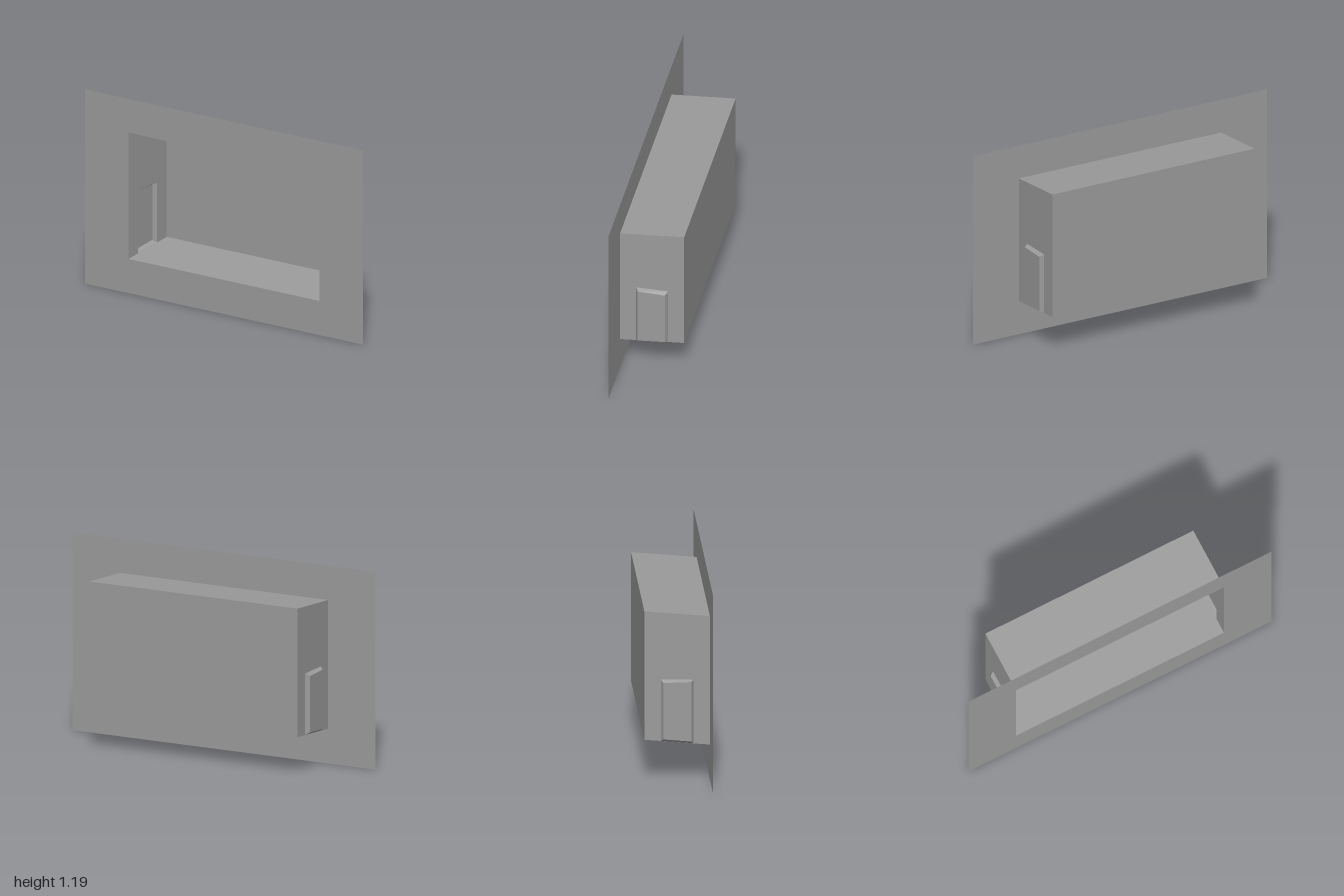
import * as THREE from 'three';

const material = new THREE.MeshStandardMaterial({ color: 0x9b9b9b, flatShading: true, side: THREE.DoubleSide });
const HALF = 0.687, FRONT = 0.192, BACK = -0.192;
const FLOOR = [0.21, 0.245], ROOF = [0.986, 1.021]; // heights at front, back

function addMesh(parent, name, geometry) {
  const mesh = new THREE.Mesh(geometry, material);
  mesh.name = name;
  parent.add(mesh);
  return mesh;
}

// Flat four-cornered panel, corners anticlockwise seen from its front
function quad(a, b, c, d) {
  const g = new THREE.BufferGeometry();
  g.setAttribute('position', new THREE.Float32BufferAttribute([a, b, c, a, c, d].flat(), 3));
  g.computeVertexNormals();
  return g;
}

const outline = (points, Type = THREE.Shape) => new Type(points.map(p => new THREE.Vector2(...p)));
const rect = (x, y0, y1) => [[-x, y0], [x, y0], [x, y1], [-x, y1]];

// End wall with a doorway that tapers outward to a shallow closed recess
function endWall(side) {
  const group = new THREE.Group();
  group.name = side > 0 ? 'leftEnd' : 'rightEnd';
  const doorway = [[0.096, 0.22], [-0.096, 0.237], [-0.096, 0.608], [0.096, 0.606]];
  const panel = [[0.082, 0.236], [-0.082, 0.251], [-0.082, 0.592], [0.082, 0.595]];
  const wall = outline([[FRONT, FLOOR[0]], [BACK, FLOOR[1]], [BACK, ROOF[1]], [FRONT, ROOF[0]]]);
  wall.holes.push(outline(doorway, THREE.Path));

  // Shape x becomes z
  const geometry = new THREE.ShapeGeometry(wall);
  geometry.scale(-1, 1, 1).rotateY(Math.PI / 2).translate(side * HALF, 0, 0);
  geometry.computeVertexNormals();
  addMesh(group, 'endWall', geometry);

  const outer = doorway.map(([z, y]) => [side * HALF, y, z]);
  const inner = panel.map(([z, y]) => [side * 0.711, y, z]);
  const order = pts => (side > 0 ? pts : [...pts].reverse());
  addMesh(group, 'recessPanel', quad(...order(inner)));
  for (let i = 0; i < 4; i++) {
    const j = (i + 1) % 4;
    addMesh(group, 'recessReveal', quad(...order([outer[i], outer[j], inner[j], inner[i]])));
  }
  return group;
}

export function createModel() {
  const model = new THREE.Group();
  model.name = 'stageBox';

  // Front wall with the large opening
  const front = outline(rect(1, 0, 1.193));
  front.holes.push(outline(rect(HALF, FLOOR[0], ROOF[0]), THREE.Path));
  addMesh(model, 'frontWall', new THREE.ShapeGeometry(front)).position.z = FRONT;

  // Raked floor, roof and back wall
  const [f0, f1] = FLOOR, [r0, r1] = ROOF;
  addMesh(model, 'floor', quad([-HALF, f0, FRONT], [HALF, f0, FRONT], [HALF, f1, BACK], [-HALF, f1, BACK]));
  addMesh(model, 'roof', quad([-HALF, r0, FRONT], [HALF, r0, FRONT], [HALF, r1, BACK], [-HALF, r1, BACK]));
  addMesh(model, 'backWall', quad([HALF, f1, BACK], [-HALF, f1, BACK], [-HALF, r1, BACK], [HALF, r1, BACK]));

  // Mirrored end walls
  for (const side of [-1, 1]) model.add(endWall(side));
  return model;
}
